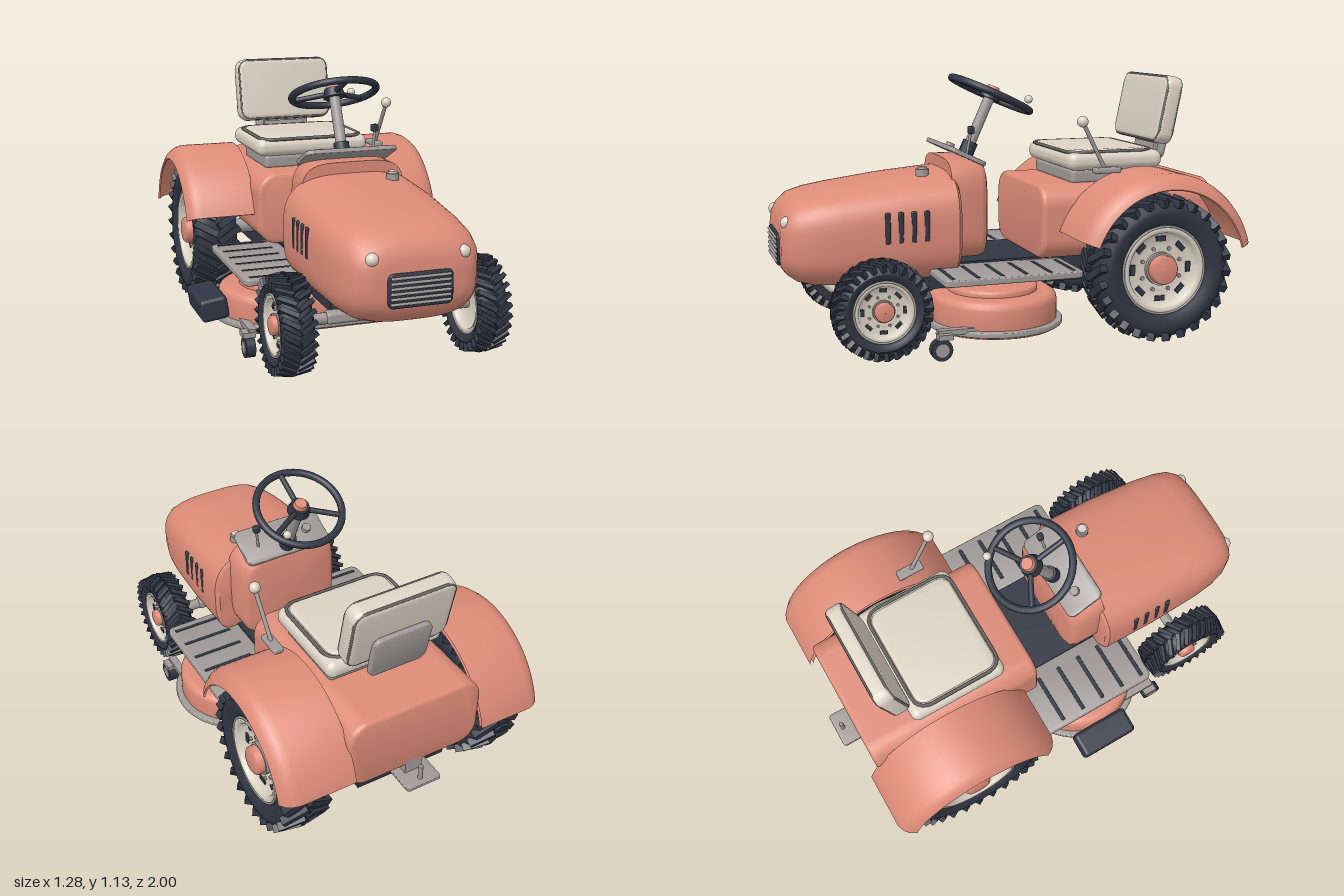
import * as THREE from 'three';
import { mergeGeometries, toCreasedNormals } from 'three/addons/utils/BufferGeometryUtils.js';
import { RoundedBoxGeometry } from 'three/addons/geometries/RoundedBoxGeometry.js';

const mat = (name, color, side = THREE.FrontSide) => Object.assign(new THREE.MeshStandardMaterial({ color, side }), { name });
const coral = mat('coral paint', 0xdd8b78, THREE.DoubleSide);
const dark = mat('dark rubber', 0x303643);
const gray = mat('gray metal', 0xa09b98);
const cream = mat('cream', 0xdcd3c5, THREE.DoubleSide);
const trim = mat('seat piping', 0x66635f);
const V2 = (x, y) => new THREE.Vector2(x, y);
const V3 = (x, y, z) => new THREE.Vector3(x, y, z);

function add(parent, name, geo, material, x = 0, y = 0, z = 0, rx = 0, ry = 0, rz = 0) {
  const m = new THREE.Mesh(geo, material);
  m.name = name;
  m.position.set(x, y, z);
  m.rotation.set(rx, ry, rz);
  parent.add(m);
  return m;
}
const box = (w, h, d) => new THREE.BoxGeometry(w, h, d);
const rbox = (w, h, d, r) => new RoundedBoxGeometry(w, h, d, 4, r);
const cyl = (r, h, n = 24, r2 = r) => new THREE.CylinderGeometry(r2, r, h, n);
const ball = (r) => new THREE.SphereGeometry(r, 20, 14);

// Cylinder between two points
function rod(parent, name, a, b, r, material) {
  const m = add(parent, name, cyl(r, a.distanceTo(b), 16), material);
  m.position.copy(a).lerp(b, 0.5);
  m.quaternion.setFromUnitVectors(V3(0, 1, 0), b.clone().sub(a).normalize());
}

// Rounded rectangle centred on the origin
function roundRect(hw, hh, r) {
  const s = new THREE.Shape();
  s.absarc(hw - r, hh - r, r, 0, Math.PI / 2);
  s.absarc(-hw + r, hh - r, r, Math.PI / 2, Math.PI);
  s.absarc(-hw + r, -hh + r, r, Math.PI, Math.PI * 1.5);
  s.absarc(hw - r, -hh + r, r, Math.PI * 1.5, Math.PI * 2);
  s.closePath();
  return s;
}
function slab(shape, depth, bevel) {
  const g = new THREE.ExtrudeGeometry(shape, { depth: depth - 2 * bevel, bevelEnabled: bevel > 0, bevelSize: bevel,
    bevelThickness: bevel, bevelOffset: -bevel, bevelSegments: 4, curveSegments: 16 });
  return toCreasedNormals(g.translate(0, 0, bevel - depth / 2), 0.6);
}
function piping(hw, hh, r, tube) {
  const pts = roundRect(hw, hh, r).getSpacedPoints(48).slice(0, -1).map((p) => V3(p.x, p.y, 0));
  return new THREE.TubeGeometry(new THREE.CatmullRomCurve3(pts, true), 96, tube, 6, true);
}

// Loft of superellipse sections [z, half width, bottom, top], back to front
function loft(sections, power, n = 56) {
  const pos = [], idx = [];
  const first = sections[0], last = sections[sections.length - 1];
  const rows = [[first[0], 0, first], ...sections.map((s) => [s[0], 1, s]), [last[0], 0, last]];
  rows.forEach(([z, k, [, hw, lo, hi]]) => {
    for (let i = 0; i < n; i++) {
      const a = (i / n) * Math.PI * 2, c = Math.cos(a), s = Math.sin(a);
      const f = (v) => Math.sign(v) * Math.pow(Math.abs(v), 2 / power) * k;
      pos.push(hw * f(c), (lo + hi) / 2 + ((hi - lo) / 2) * f(s), z);
    }
  });
  for (let r = 0; r < rows.length - 1; r++) for (let i = 0; i < n; i++) {
    const a = r * n + i, b = r * n + ((i + 1) % n);
    if (r > 0) idx.push(a, b, b + n);
    if (r < rows.length - 2) idx.push(a, b + n, a + n);
    if (r === 0) idx.push(a, b + n, a + n);
  }
  const g = new THREE.BufferGeometry();
  g.setAttribute('position', new THREE.Float32BufferAttribute(pos, 3));
  g.setIndex(idx);
  return toCreasedNormals(g, 0.75);
}

// Wheel with its outer side on +x; side -1 turns it round
function wheel(name, R, W, rim, hub, lugs, side) {
  const g = new THREE.Group();
  g.name = name;
  const lathe = (pts) => new THREE.LatheGeometry(pts.map(([r, t]) => V2(r, t * W)), 56).rotateZ(-Math.PI / 2);
  const T = R - 0.015;
  add(g, 'tyre', lathe([[rim, -0.36], [rim + 0.015, -0.43], [(rim + T) / 2, -0.49], [T - 0.03, -0.46], [T - 0.006, -0.38], [T, -0.2], [T, 0.2],
    [T - 0.006, 0.38], [T - 0.03, 0.46], [(rim + T) / 2, 0.49], [rim + 0.015, 0.43], [rim, 0.36], [rim, -0.36]]), dark);
  const parts = [];
  for (let i = 0; i < lugs; i++) for (const s of [-1, 1]) {
    const lug = box(W * 0.56, 0.035, (2.6 * R) / lugs);
    lug.rotateZ(-s * 0.13).rotateY(s * side * 0.55).translate(s * W * 0.245, R - 0.02, 0);
    parts.push(lug.rotateX(((i + (s > 0 ? 0.5 : 0)) / lugs) * Math.PI * 2));
  }
  add(g, 'chevronTread', mergeGeometries(parts), dark);
  add(g, 'rim', lathe([[hub, 0.2], [rim * 0.5, 0.24], [rim * 0.78, 0.2], [rim * 0.85, 0.38], [rim * 0.93, 0.42], [rim + 0.003, 0.39],
    [rim + 0.003, -0.39], [rim * 0.85, -0.35], [rim * 0.78, -0.1], [0.001, -0.1]]), cream);
  add(g, 'rimEdge', new THREE.TorusGeometry(rim, 0.005, 8, 56), gray, W * 0.4, 0, 0, 0, Math.PI / 2);
  const slots = [], bolts = [];
  for (let i = 0; i < 8; i++) {
    const a = (i / 8) * Math.PI * 2;
    slots.push(box(0.008, rim * 0.12, rim * 0.24).translate(W * 0.225, rim * 0.69, 0).rotateX(a));
    bolts.push(cyl(rim * 0.045, 0.014, 8).rotateZ(Math.PI / 2).translate(W * 0.25, rim * 0.5, 0).rotateX(a + 0.39));
  }
  add(g, 'rimSlots', mergeGeometries(slots), dark);
  add(g, 'wheelBolts', mergeGeometries(bolts), gray);
  add(g, 'hubFlange', cyl(hub * 1.15, W * 0.1), gray, W * 0.25, 0, 0, 0, 0, Math.PI / 2);
  add(g, 'hubCap', lathe([[hub, 0.15], [hub, 0.42], [hub * 0.85, 0.47], [0.001, 0.48]]), coral);
  g.rotation.y = side < 0 ? Math.PI : 0;
  return g;
}

export function createModel() {
  const root = new THREE.Group();
  root.name = 'lawnTractor';
  const g = new THREE.Group();
  g.name = 'tractor';
  g.position.x = 0.025;
  root.add(g);

  // Hood, grille and cowl
  add(g, 'hood', loft([[0.245, 0.295, 0.275, 0.705], [0.26, 0.311, 0.258, 0.722], [0.5, 0.313, 0.253, 0.7], [0.75, 0.301, 0.25, 0.667],
    [0.85, 0.288, 0.256, 0.65], [0.915, 0.27, 0.275, 0.63], [0.955, 0.245, 0.305, 0.595], [0.975, 0.215, 0.335, 0.56], [0.983, 0.18, 0.36, 0.53]], 3.2), coral);
  add(g, 'cowl', loft([[0.105, 0.2, 0.36, 0.735], [0.115, 0.222, 0.342, 0.757], [0.14, 0.235, 0.335, 0.77], [0.27, 0.235, 0.335, 0.77]], 4.5), coral);
  add(g, 'grilleFrame', slab(roundRect(0.133, 0.068, 0.025), 0.03, 0.006), dark, 0, 0.418, 0.978);
  for (let i = 0; i < 6; i++) add(g, 'grilleBar', rbox(0.246, 0.011, 0.014, 0.005), gray, 0, 0.368 + i * 0.02, 0.993);
  add(g, 'fuelCap', cyl(0.028, 0.03), gray, 0.137, 0.717, 0.375);
  add(g, 'fuelCapTop', cyl(0.02, 0.012), cream, 0.137, 0.735, 0.375);
  for (const s of [-1, 1]) {
    add(g, 'headlight', ball(0.027), cream, s * 0.187, 0.54, 0.958);
    for (let i = 0; i < 4; i++) add(g, 'hoodVent', rbox(0.014, 0.13, 0.022, 0.006), dark, s * 0.307, 0.515, 0.4 + i * 0.055);
  }

  // Dash and controls
  add(g, 'dashPanel', slab(roundRect(0.207, 0.09, 0.03), 0.02, 0.005), gray, 0, 0.783, 0.188, -Math.PI / 2 - 0.45);
  rod(g, 'steeringColumn', V3(0, 0.76, 0.147), V3(0, 1.02, 0.03), 0.024, gray);
  rod(g, 'columnBoot', V3(0, 0.76, 0.147), V3(0, 0.825, 0.118), 0.034, dark);
  rod(g, 'throttleStick', V3(0.125, 0.78, 0.175), V3(0.14, 0.88, 0.16), 0.006, gray);
  add(g, 'throttleKnob', rbox(0.03, 0.032, 0.026, 0.006), dark, 0.14, 0.89, 0.159);
  add(g, 'dashKnob', cyl(0.02, 0.03), gray, -0.12, 0.795, 0.18, -0.45);

  // Steering wheel
  const sw = new THREE.Group();
  sw.name = 'steeringWheel';
  sw.position.set(0, 1.03, 0.025);
  sw.rotation.x = -0.43;
  g.add(sw);
  add(sw, 'wheelRing', new THREE.TorusGeometry(0.187, 0.016, 12, 56), dark, 0, 0, 0, Math.PI / 2);
  add(sw, 'wheelHub', cyl(0.05, 0.04, 24, 0.04), dark);
  add(sw, 'wheelHubCap', cyl(0.032, 0.02, 24, 0.026), coral, 0, 0.028, 0);
  for (let i = 0; i < 3; i++) {
    const a = (i / 3) * Math.PI * 2;
    rod(sw, 'wheelSpoke', V3(0, 0, 0), V3(Math.sin(a) * 0.185, 0, Math.cos(a) * 0.185), 0.012, dark);
  }
  add(sw, 'spinnerKnob', ball(0.018), cream, 0.13, 0.04, -0.125);

  // Chassis, floor and axles
  add(g, 'chassis', box(0.42, 0.115, 1.4), dark, 0, 0.275, -0.13);
  rod(g, 'rearAxle', V3(-0.4, 0.313, -0.565), V3(0.4, 0.313, -0.565), 0.035, gray);
  add(g, 'frontAxleBeam', rbox(0.5, 0.05, 0.06, 0.015), gray, 0, 0.215, 0.62);
  rod(g, 'frontAxle', V3(-0.38, 0.212, 0.62), V3(0.38, 0.212, 0.62), 0.024, gray);

  // Rear body and hitch
  add(g, 'rearBody', slab(roundRect(0.31, 0.1625, 0.09), 0.805, 0.02), coral, 0, 0.4925, -0.5125);
  add(g, 'hitchPlate', slab(roundRect(0.082, 0.07, 0.015), 0.014, 0.003), gray, 0, 0.287, -0.93, Math.PI / 2);
  add(g, 'hitchBracket', box(0.08, 0.07, 0.05), gray, 0, 0.32, -0.89);
  add(g, 'hitchPin', cyl(0.01, 0.1, 12), gray, 0, 0.308, -0.965);

  // Seat
  add(g, 'seatTray', rbox(0.46, 0.07, 0.36, 0.02), gray, 0, 0.68, -0.45);
  add(g, 'seatCushion', rbox(0.54, 0.08, 0.445, 0.036), cream, 0, 0.748, -0.468);
  add(g, 'seatPad', slab(roundRect(0.232, 0.19, 0.05), 0.03, 0.012), cream, 0, 0.782, -0.455, -Math.PI / 2);
  add(g, 'seatPiping', piping(0.245, 0.2, 0.06, 0.008), trim, 0, 0.787, -0.455, Math.PI / 2);
  const back = new THREE.Group();
  back.name = 'backrest';
  back.position.set(0, 0.957, -0.738);
  back.rotation.x = -0.2;
  g.add(back);
  add(back, 'backCushion', slab(roundRect(0.235, 0.152, 0.05), 0.085, 0.025), cream);
  for (const z of [-0.032, 0.032]) add(back, 'backPiping', piping(0.225, 0.143, 0.045, 0.007), trim, 0, 0, z);
  add(back, 'backPlate', slab(roundRect(0.135, 0.105, 0.04), 0.025, 0.008), gray, 0, -0.118, -0.053);
  add(back, 'backBracket', box(0.2, 0.09, 0.02), gray, 0, -0.2, -0.03);

  // Mower deck
  const flat = -Math.PI / 2, zd = 0.105;
  add(g, 'deckShell', slab(roundRect(0.55, 0.268, 0.266), 0.15, 0.035), coral, 0, 0.15, zd, flat);
  add(g, 'deckTop', slab(roundRect(0.46, 0.19, 0.188), 0.06, 0.015), coral, 0, 0.222, zd, flat);
  add(g, 'deckRim', slab(roundRect(0.578, 0.292, 0.29), 0.024, 0.008), gray, 0, 0.098, zd, flat);
  add(g, 'deckUnderside', slab(roundRect(0.555, 0.27, 0.268), 0.02, 0.002), coral, 0, 0.086, zd, flat);
  add(g, 'dischargeChute', rbox(0.12, 0.1, 0.27, 0.018), dark, -0.6, 0.155, 0.075, 0, 0, 0.15);

  // Parts on both sides
  for (const s of [-1, 1]) {
    const rear = wheel('rearWheel', 0.313, 0.213, 0.187, 0.062, 26, s);
    rear.position.set(s * 0.463, 0.313, -0.565);
    const front = wheel('frontWheel', 0.205, 0.14, 0.125, 0.04, 28, s);
    front.position.set(s * 0.415, 0.207, 0.62);
    g.add(rear, front);

    const prof = [[0.405, 0.3], [0.405, 0.545], [0.395, 0.575], [0.375, 0.6], [0.345, 0.615], [0.34, 0.608], [0.365, 0.59], [0.38, 0.56], [0.388, 0.53], [0.388, 0.3]];
    const arc = new THREE.LatheGeometry(prof.map(([r, t]) => V2(r, t * s)), 40, -2.9, 2.55).rotateZ(-Math.PI / 2);
    add(g, 'fender', toCreasedNormals(arc, 0.6), coral, 0, 0.32, -0.565);

    add(g, 'footboard', slab(roundRect(0.152, 0.3, 0.03), 0.028, 0.006), gray, s * 0.36, 0.311, 0.08, flat);
    for (let i = 0; i < 6; i++) add(g, 'footboardSlot', rbox(0.23, 0.008, 0.018, 0.003), dark, s * 0.372, 0.323, -0.185 + i * 0.105);

    add(g, 'casterWheel', cyl(0.045, 0.04).rotateZ(Math.PI / 2), dark, s * 0.508, 0.047, 0.4);
    add(g, 'casterHub', cyl(0.028, 0.046).rotateZ(Math.PI / 2), gray, s * 0.508, 0.047, 0.4);
    add(g, 'casterFork', box(0.054, 0.022, 0.06), gray, s * 0.508, 0.1, 0.385);
    add(g, 'casterArm', box(0.035, 0.022, 0.16), gray, s * 0.49, 0.112, 0.33);
  }

  // Lift lever on the left fender
  add(g, 'leverBase', rbox(0.046, 0.025, 0.12, 0.008), gray, 0.355, 0.722, -0.38);
  rod(g, 'leverStick', V3(0.355, 0.72, -0.375), V3(0.367, 0.92, -0.268), 0.009, gray);
  add(g, 'leverKnob', ball(0.024), cream, 0.367, 0.933, -0.262);
  return root;
}
